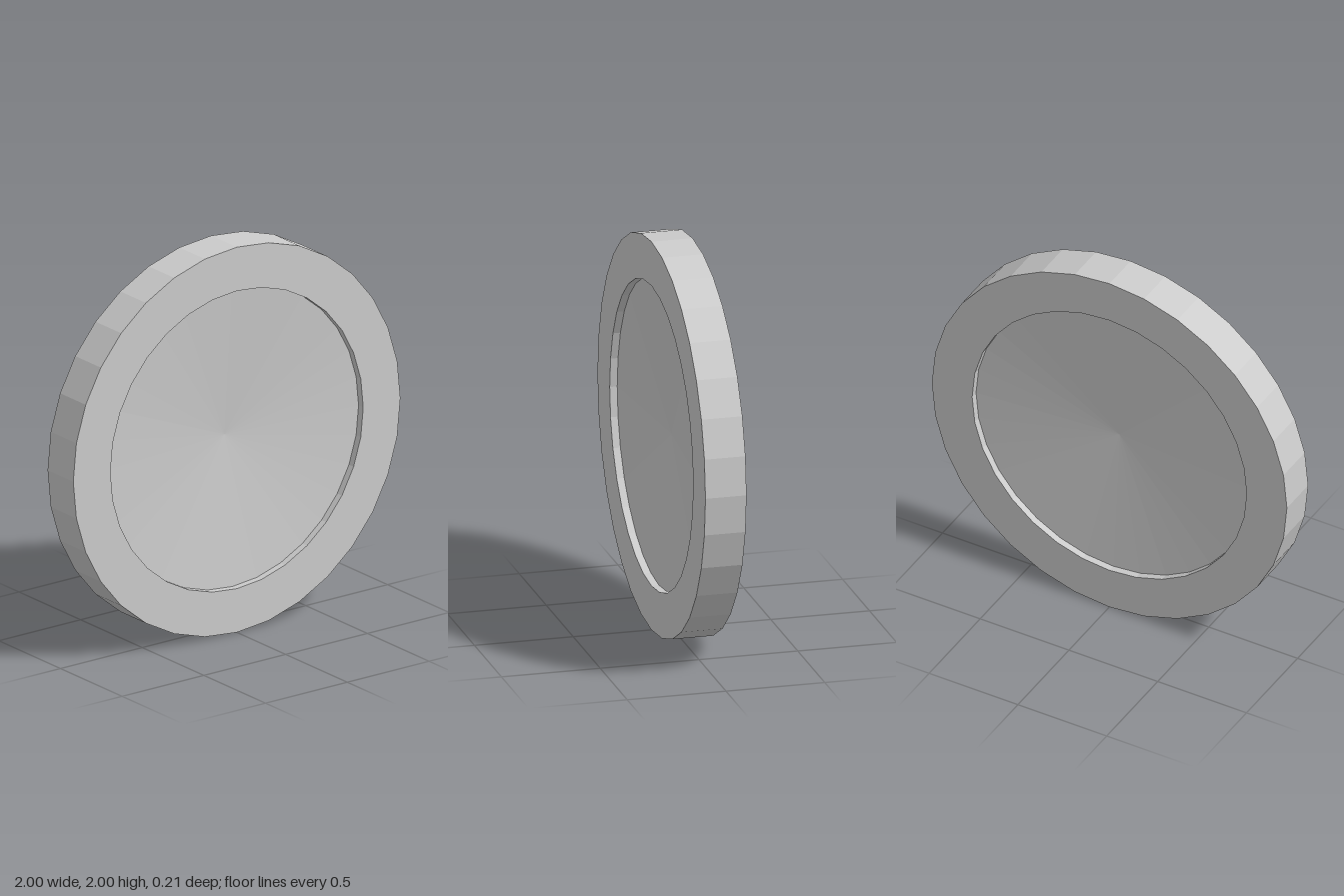
import * as THREE from 'three';

const SIDES = 32;
const OUTER = 1, INNER = 0.773; // rim radii
const HALF = 0.104;             // half thickness of the rim
const FLOOR = 0.066;            // depth position where the dish meets the rim
const CENTRE = 0.004;           // depth position of the dish centre

export function createModel() {
  const group = new THREE.Group();
  group.name = 'dishedDisc';
  const material = new THREE.MeshStandardMaterial({ color: 0xcccccc, flatShading: true });

  // Turn a radius/depth profile around the z axis
  function turned(name, profile) {
    const points = profile.map(([r, d]) => new THREE.Vector2(r, d));
    const geometry = new THREE.LatheGeometry(points, SIDES).rotateX(Math.PI / 2);
    const mesh = new THREE.Mesh(geometry, material);
    mesh.name = name;
    mesh.position.y = OUTER;
    group.add(mesh);
  }

  // Flat-faced ring with a short step down to the dish on both sides
  turned('rim', [
    [INNER, -FLOOR], [INNER, -HALF], [OUTER, -HALF],
    [OUTER, HALF], [INNER, HALF], [INNER, FLOOR],
  ]);

  // Shallow inward cones on the back and the front
  turned('backDish', [[0, -CENTRE], [INNER, -FLOOR]]);
  turned('frontDish', [[INNER, FLOOR], [0, CENTRE]]);

  return group;
}
